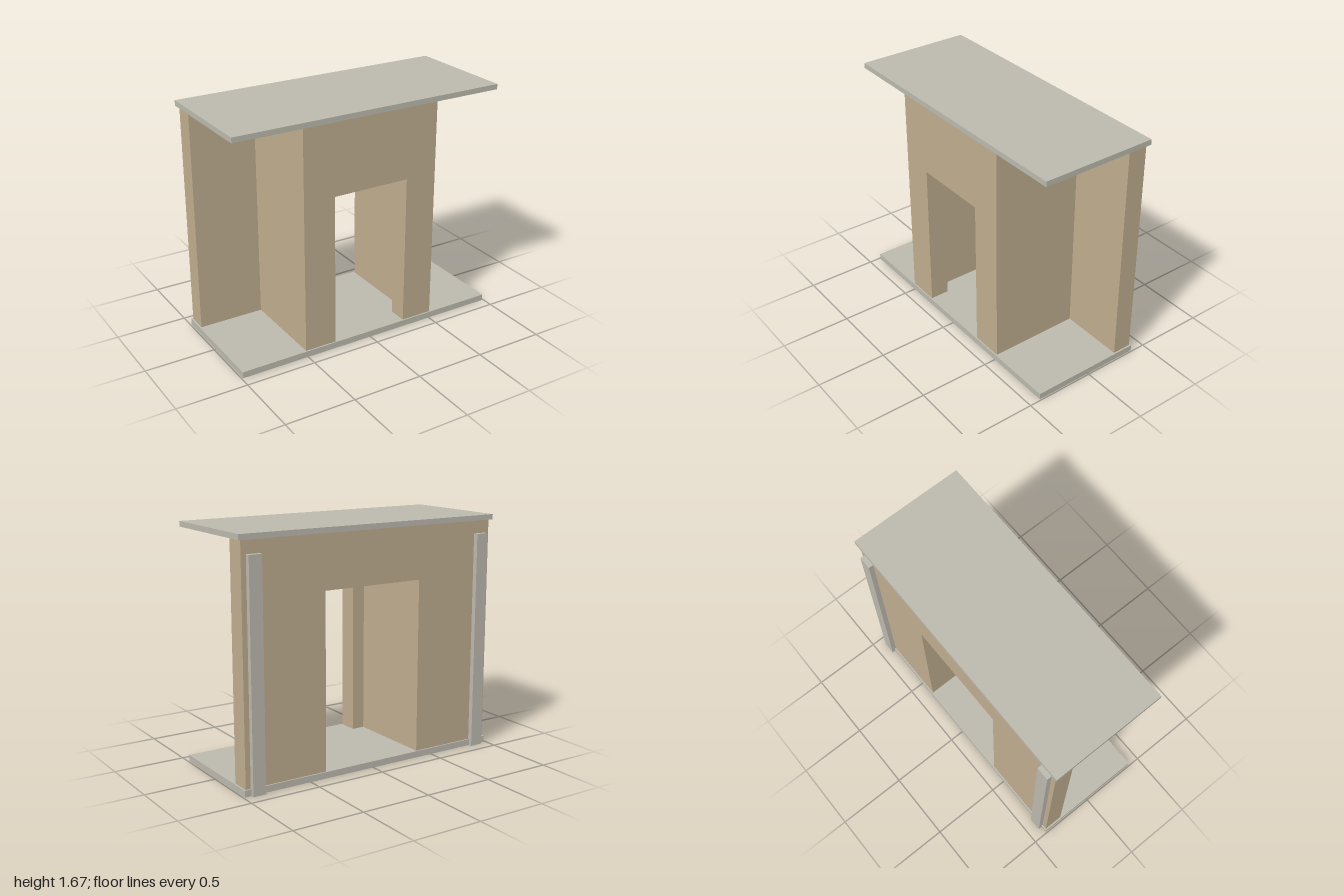
import * as THREE from 'three';

export function createModel() {
  const model = new THREE.Group();
  const wallTan = new THREE.MeshStandardMaterial({ color: 0xbeac8e });
  wallTan.name = 'wallTan';
  const concreteGrey = new THREE.MeshStandardMaterial({ color: 0xbbb9ad });
  concreteGrey.name = 'concreteGrey';

  const FLOOR = 0.045, CEILING = 1.63;

  // Box given by its lower and upper corners
  function block(name, material, [x0, y0, z0], [x1, y1, z1]) {
    const mesh = new THREE.Mesh(new THREE.BoxGeometry(x1 - x0, y1 - y0, z1 - z0), material);
    mesh.position.set((x0 + x1) / 2, (y0 + y1) / 2, (z0 + z1) / 2);
    mesh.name = name;
    model.add(mesh);
  }

  // Wall across x with a centred doorway, as one arch-shaped extrusion
  function doorWall(name, half, doorHalf, doorTop, z0, z1) {
    const shape = new THREE.Shape([
      [-half, FLOOR], [-doorHalf, FLOOR], [-doorHalf, doorTop], [doorHalf, doorTop],
      [doorHalf, FLOOR], [half, FLOOR], [half, CEILING], [-half, CEILING],
    ].map(([x, y]) => new THREE.Vector2(x, y)));
    const geometry = new THREE.ExtrudeGeometry(shape, { depth: z1 - z0, bevelEnabled: false });
    geometry.translate(0, 0, z0);
    const mesh = new THREE.Mesh(geometry, wallTan);
    mesh.name = name;
    model.add(mesh);
  }

  // Floor and roof slabs
  block('baseSlab', concreteGrey, [-0.99, 0, -0.395], [0.99, FLOOR, 0.415]);
  block('roofSlab', concreteGrey, [-1, CEILING, -0.403], [1, 1.667, 0.42]);

  // Wide back wall and narrower porch front, each with a doorway
  doorWall('backWall', 0.978, 0.375, 1.26, -0.385, -0.247);
  doorWall('frontWall', 0.51, 0.28, 1.12, 0.267, 0.405);

  // Mirrored passage walls and rear pilasters
  for (const [side, s] of [['left', 1], ['right', -1]]) {
    const span = (a, b) => [Math.min(s * a, s * b), Math.max(s * a, s * b)];
    const [w0, w1] = span(0.375, 0.51);
    block(side + 'PassageWall', wallTan, [w0, FLOOR, -0.247], [w1, CEILING, 0.267]);
    const [p0, p1] = span(0.85, 0.942);
    block(side + 'RearPilaster', concreteGrey, [p0, 0, -0.42], [p1, 1.54, -0.383]);
  }
  return model;
}
